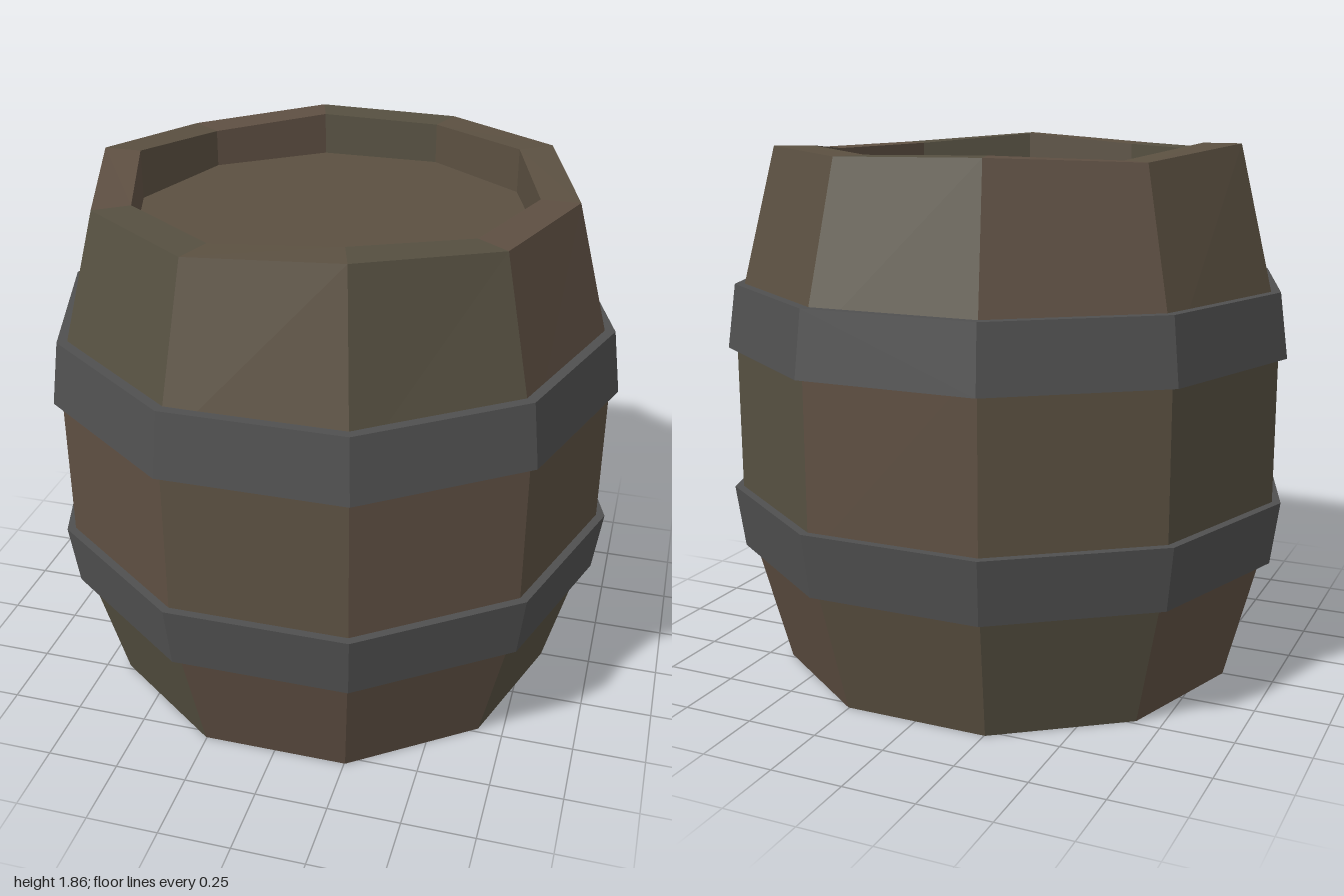
import * as THREE from 'three';

const SIDES = 10;
const STEP = (Math.PI * 2) / SIDES;
const LID_Y = 1.685;
const BASE_Y = 0.08;
const INNER = 0.69;

// Uneven height of the top rim at each corner, counted from +x towards +z
const RIM = [1.81, 1.815, 1.848, 1.815, 1.812, 1.855, 1.815, 1.835, 1.828, 1.84];

const wood = [0x5b5041, 0x5e4f42, 0x565041].map(
  (color) => new THREE.MeshStandardMaterial({ color, flatShading: true }));
const iron = new THREE.MeshStandardMaterial({ color: 0x505050, flatShading: true });

// Tone of each stave's lower, middle and upper section
const TONES = ['201', '112', '100', '212', '011', '120', '201', '012', '120', '000'];

// One side of the barrel: a strip following a profile of [radius, height]
// between two neighbouring corners; a null height means the uneven rim
function strip(side, profile) {
  const pos = [];
  const index = [];
  profile.forEach(([r, y], i) => {
    for (const k of [side, side + 1]) {
      pos.push(r * Math.cos(k * STEP), y ?? RIM[k % SIDES], r * Math.sin(k * STEP));
    }
    if (i > 0) {
      const a = 2 * i - 2;
      index.push(a, a + 2, a + 1, a + 1, a + 2, a + 3);
    }
  });
  const geometry = new THREE.BufferGeometry();
  geometry.setAttribute('position', new THREE.Float32BufferAttribute(pos, 3));
  geometry.setIndex(index);
  geometry.computeVertexNormals();
  return geometry;
}

export function createModel() {
  const barrel = new THREE.Group();
  barrel.name = 'barrel';

  const add = (name, geometry, material, parent = barrel) => {
    const mesh = new THREE.Mesh(geometry, material);
    mesh.name = name;
    parent.add(mesh);
    return mesh;
  };

  // Staves, each in three sections with its own wood tones
  const sections = [
    ['lowerStave', [[INNER, BASE_Y], [INNER, 0], [0.82, 0], [0.97, 0.57]]],
    ['middleStave', [[0.97, 0.57], [0.97, 1.24]]],
    ['upperStave', [[0.97, 1.24], [0.82, null], [INNER, null], [INNER, LID_Y]]],
  ];
  for (let side = 0; side < SIDES; side++) {
    const stave = new THREE.Group();
    stave.name = 'stave';
    barrel.add(stave);
    sections.forEach(([name, profile], i) =>
      add(name, strip(side, profile), wood[TONES[side][i]], stave));
  }

  // Recessed lid and base
  const disc = new THREE.CircleGeometry(INNER, SIDES);
  const lid = add('lid', disc, wood[0]);
  lid.rotation.x = -Math.PI / 2;
  lid.position.y = LID_Y;
  const base = add('base', disc, wood[0]);
  base.rotation.x = Math.PI / 2;
  base.position.y = BASE_Y;

  // Iron hoops, widest on the edge facing the middle
  const hoop = (name, bottom, rBottom, top, rTop) => {
    const profile = [[0.9, bottom], [rBottom, bottom], [rTop, top], [0.9, top]];
    const points = profile.map(([r, y]) => new THREE.Vector2(r, y));
    add(name, new THREE.LatheGeometry(points, SIDES, STEP / 2), iron);
  };
  hoop('lowerHoop', 0.435, 0.97, 0.655, 1);
  hoop('upperHoop', 1.155, 1, 1.375, 0.97);

  return barrel;
}
